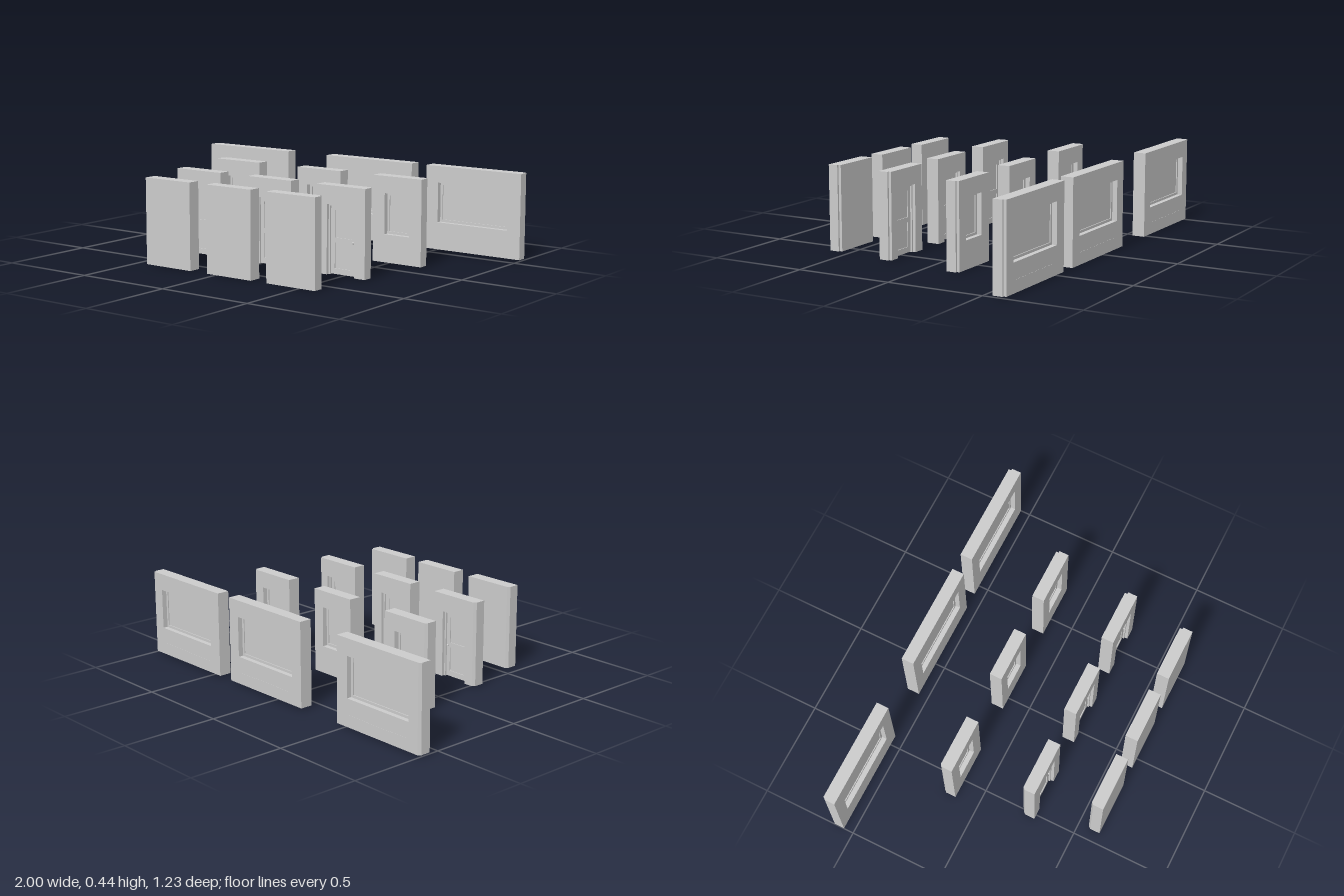
import * as THREE from 'three';

const mat = new THREE.MeshStandardMaterial({ color: 0xcccccc, flatShading: true });
const T = 0.065, NOTCH = 0.014;

function add(group, name, geometry, x = 0, y = 0, z = 0) {
  const mesh = new THREE.Mesh(geometry, mat);
  mesh.name = name;
  mesh.position.set(x, y, z);
  group.add(mesh);
}

function rect(Type, x0, y0, x1, y1) {
  return new Type([[x0, y0], [x1, y0], [x1, y1], [x0, y1]].map(p => new THREE.Vector2(...p)));
}

// Flat slab in the xy plane, centred on z = 0
function slab(shape, depth) {
  return new THREE.ExtrudeGeometry(shape, { depth, bevelEnabled: false }).translate(0, 0, -depth / 2);
}

// Rectangular slab with a list of rectangular holes
function framed(outer, holes, depth) {
  const s = rect(THREE.Shape, ...outer);
  holes.forEach(h => s.holes.push(rect(THREE.Path, ...h)));
  return slab(s, depth);
}

// End strip whose outer back corner is cut: bevelled on the -x end, stepped on the +x end
function cornerStrip(side, height) {
  const h = T / 2, n = NOTCH;
  const plan = side < 0
    ? [[0, -h], [n, -h], [n, h], [n * 0.8, h], [0, h - n * 0.9]]
    : [[0, -h], [n, -h], [n, h - n], [n * 0.3, h - n], [n * 0.3, h], [0, h]];
  const shape = new THREE.Shape(plan.map(p => new THREE.Vector2(...p)));
  // the plan's second axis becomes -z, so its far side is the back
  return new THREE.ExtrudeGeometry(shape, { depth: height, bevelEnabled: false }).rotateX(-Math.PI / 2);
}

function addWindow(g, w, y0, y1) {
  const f = 0.013;
  add(g, 'windowFrame', framed([-w, y0, w, y1], [[-w + f, y0 + f, w - f, y1 - f]], 0.014));
  add(g, 'windowPane', new THREE.BoxGeometry(2 * (w - f), y1 - y0 - 2 * f, 0.004), 0, (y0 + y1) / 2);
}

function addDoor(g, w, top) {
  const f = 0.008, r = 0.022, d = w - f;
  // jambs and head
  const jamb = new THREE.Shape([[-w, 0], [-d, 0], [-d, top - f], [d, top - f], [d, 0], [w, 0], [w, top], [-w, top]]
    .map(p => new THREE.Vector2(...p)));
  add(g, 'doorFrame', slab(jamb, 0.034));
  // leaf with an upper and a lower recessed panel
  const panels = [[-d + r, 0.03, d - r, 0.155], [-d + r, 0.18, d - r, top - f - r]];
  add(g, 'doorLeaf', framed([-d, 0.002, d, top - f], panels, 0.016));
  add(g, 'doorPanels', new THREE.BoxGeometry(2 * (d - r), top - 0.05, 0.007), 0, top / 2);
  for (const s of [-1, 1]) {
    add(g, 'doorKnob', new THREE.SphereGeometry(0.006, 10, 8), d - 0.011, 0.165, s * 0.013);
  }
}

// One wall; corner is -1, 0 or 1 for the end that carries the cut corner
function wall(kind, x0, x1, z, y, corner) {
  const g = new THREE.Group();
  const c = (x0 + x1) / 2, w = (x1 - x0) / 2, H = 0.435;
  g.name = kind + 'Wall';
  g.position.set(c, y, z);
  const L = -w + (corner < 0 ? NOTCH : 0), R = w - (corner > 0 ? NOTCH : 0);
  const lo = 0.142, hi = 0.349;

  if (kind === 'door') {
    const d = 0.08, top = 0.343;
    const s = new THREE.Shape([[L, 0], [-d, 0], [-d, top], [d, top], [d, 0], [R, 0], [R, H], [L, H]]
      .map(p => new THREE.Vector2(...p)));
    add(g, 'wallBody', slab(s, T));
    addDoor(g, d, top);
  } else if (kind === 'plain') {
    add(g, 'wallBody', framed([L, 0, R, H], [], T));
  } else {
    const half = kind === 'wideWindow' ? 0.205 : 0.073;
    add(g, 'wallBody', framed([L, 0, R, H], [[-half, lo, half, hi]], T));
    addWindow(g, half, lo, hi);
    // fine moulding line below the wide windows, on the back
    if (kind === 'wideWindow') {
      add(g, 'sillLine', new THREE.BoxGeometry(0.38, 0.003, 0.002), 0, 0.06, -T / 2);
    }
  }
  if (corner) add(g, 'cutCorner', cornerStrip(corner, H), corner < 0 ? -w : w - NOTCH);
  return g;
}

export function createModel() {
  const model = new THREE.Group();
  model.name = 'wallPanels';
  // rows from back to front: kind, centre z, base y, x spans
  const rows = [
    ['wideWindow', -0.584, 0.007, [[-1, -0.45], [-0.19, 0.356], [0.446, 1]]],
    ['narrowWindow', -0.156, 0.002, [[-0.6, -0.315], [-0.065, 0.205], [0.406, 0.69]]],
    ['door', 0.255, 0.002, [[-0.523, -0.24], [-0.065, 0.205], [0.358, 0.64]]],
    ['plain', 0.584, 0, [[-0.443, -0.16], [-0.055, 0.215], [0.308, 0.59]]],
  ];
  for (const [kind, z, y, spans] of rows) {
    spans.forEach(([a, b], i) => model.add(wall(kind, a, b, z, y, i - 1)));
  }
  return model;
}
